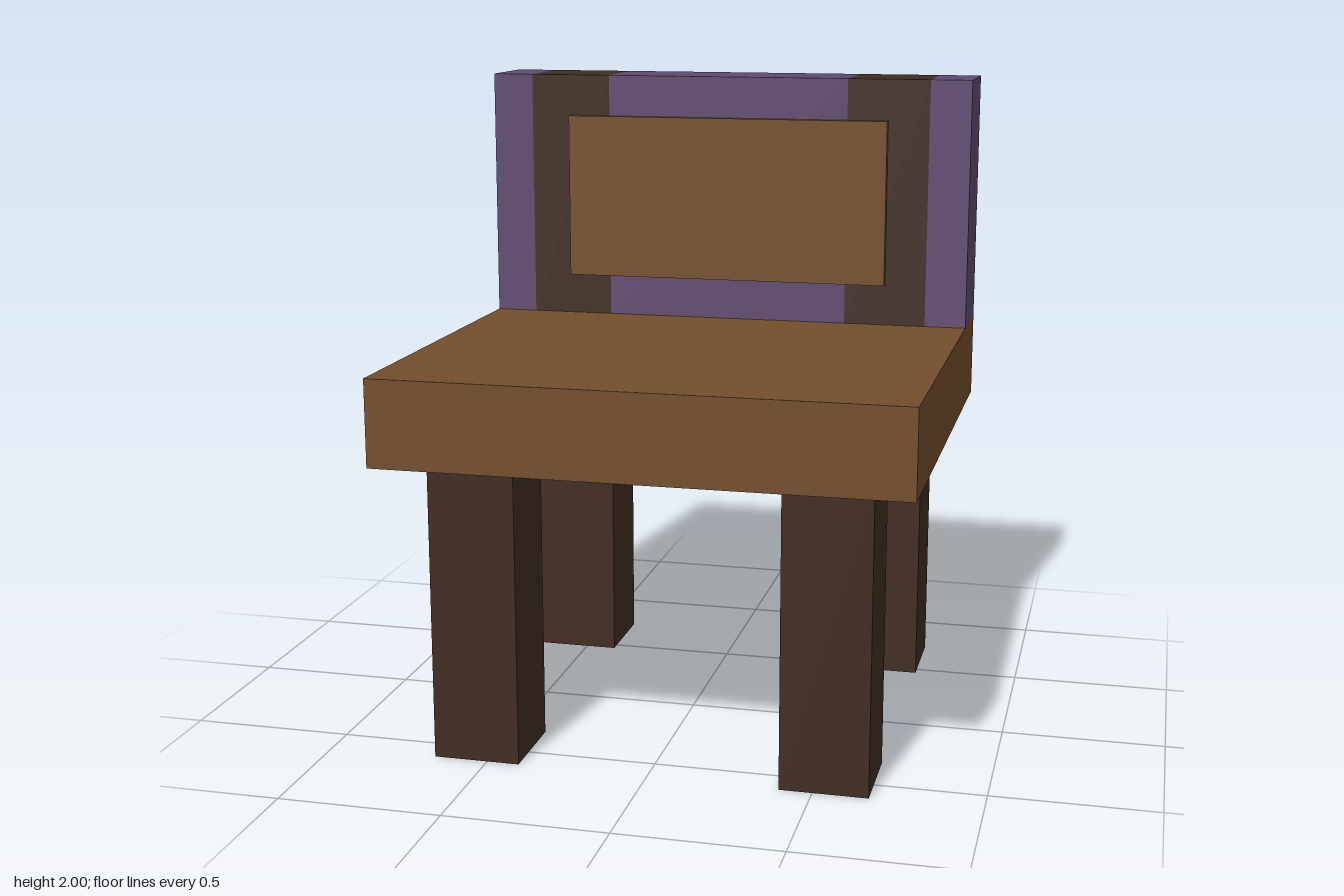
import * as THREE from 'three';

const U = 2 / 15; // the chair is laid out on a grid of 15 units in height

export function createModel() {
  const group = new THREE.Group();
  group.name = 'chair';

  const material = (name, color) => {
    const m = new THREE.MeshStandardMaterial({ color });
    m.name = name;
    return m;
  };
  const wood = material('brown wood', 0x734e2b);
  const darkWood = material('dark brown wood', 0x402c22);
  const purple = material('purple', 0x5f4a70);

  // Box given by its lower and upper corners, in grid units
  const box = (name, mat, [x0, y0, z0], [x1, y1, z1]) => {
    const mesh = new THREE.Mesh(
      new THREE.BoxGeometry((x1 - x0) * U, (y1 - y0) * U, (z1 - z0) * U), mat);
    mesh.position.set((x0 + x1) / 2, (y0 + y1) / 2, (z0 + z1) / 2).multiplyScalar(U);
    mesh.name = name;
    group.add(mesh);
  };

  // Seat slab
  box('seat', wood, [-6, 7, -5.5], [6, 9, 5.5]);

  // Legs, back posts and outer back panels, mirrored left and right
  for (const [side, s] of [['left', 1], ['right', -1]]) {
    const pair = (name, mat, xIn, xOut, y0, y1, z0, z1) => box(side + name, mat,
      [Math.min(s * xIn, s * xOut), y0, z0], [Math.max(s * xIn, s * xOut), y1, z1]);
    pair('FrontLeg', darkWood, 3, 5, 0, 7, 2.5, 4.5);
    pair('BackLeg', darkWood, 3, 5, 0, 7, -5.5, -3.5);
    pair('BackPost', darkWood, 3, 5, 9, 15, -5.5, -3.5);
    pair('BackrestEdge', purple, 5, 6, 9, 15, -5.5, -3.5);
  }

  // Backrest between the posts, and the raised pad on its front
  box('backrestCentre', purple, [-3, 9, -5.5], [3, 15, -3.5]);
  box('backrestPad', wood, [-4, 10, -3.5], [4, 14, -3.3]);

  return group;
}
